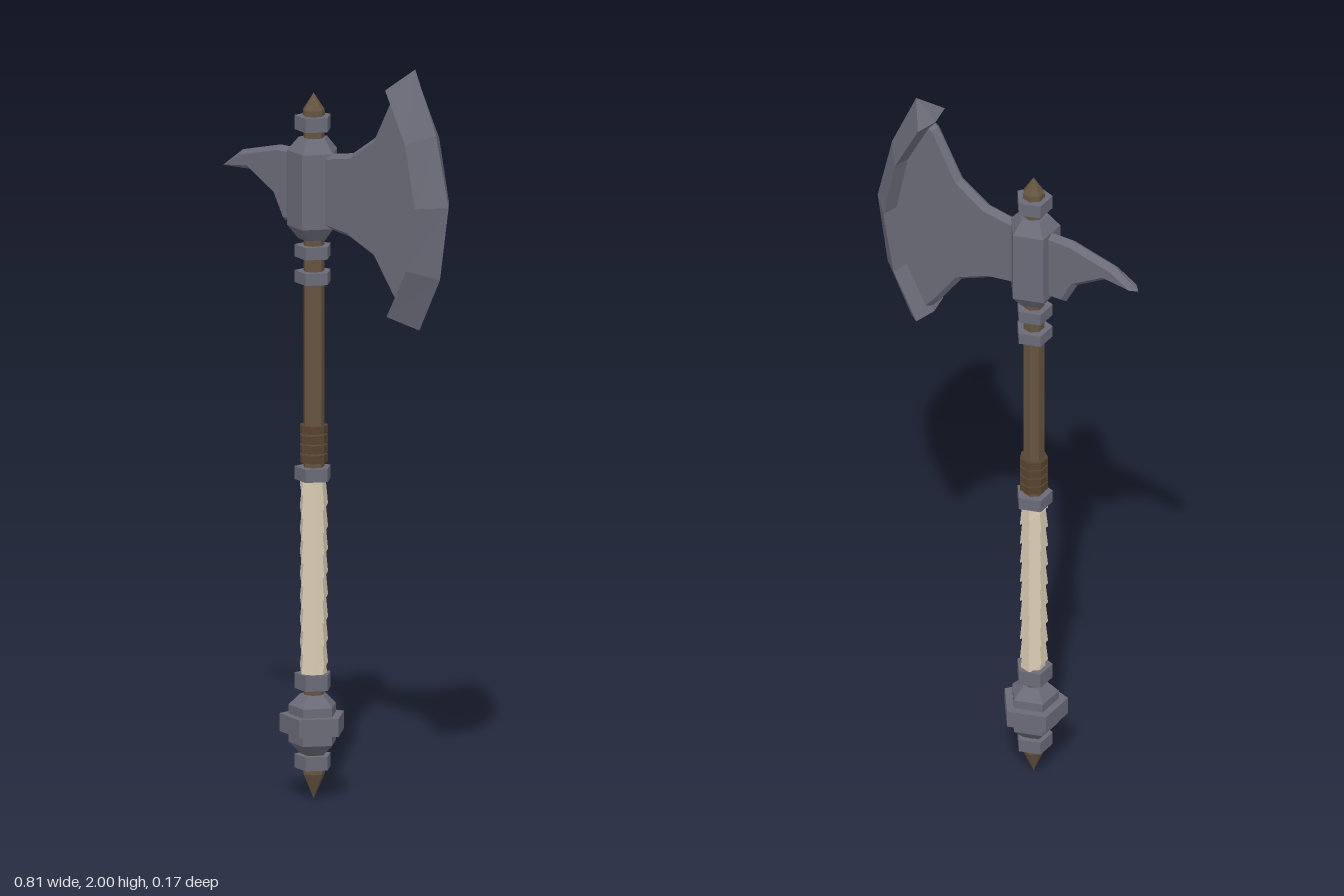
import * as THREE from 'three';

const AXIS = -0.08; // x of the shaft axis

const mat = (name, color) => {
  const m = new THREE.MeshStandardMaterial({ color });
  m.name = name;
  return m;
};

// Facet a geometry so every face has its own normal.
function flat(geo) {
  const g = geo.index ? geo.toNonIndexed() : geo;
  g.computeVertexNormals();
  return g;
}

export function createModel() {
  const group = new THREE.Group();
  const steel = mat('steel', 0x6a6b77);
  const wood = mat('wood', 0x66543f);
  const leather = mat('dark leather', 0x57432f);
  const cloth = mat('cloth wrap', 0xd6c7b0);

  const add = (name, geo, material) => {
    const mesh = new THREE.Mesh(flat(geo), material);
    mesh.name = name;
    group.add(mesh);
    return mesh;
  };

  // Prism or frustum around the shaft axis, with one corner towards +x.
  const frustum = (y0, y1, r0, r1, sides) =>
    new THREE.CylinderGeometry(r1, r0, y1 - y0, sides, 1, false, Math.PI / 2)
      .translate(AXIS, (y0 + y1) / 2, 0);

  // Faceted turned part from [radius, y] points listed from the bottom up.
  const turned = (points, sides) =>
    new THREE.LatheGeometry(points.map(p => new THREE.Vector2(...p)), sides, Math.PI / 2)
      .translate(AXIS, 0, 0);

  // Shaft and its pointed ends
  add('shaft', frustum(0.07, 1.83, 0.028, 0.028, 7), wood);
  add('topFinial', turned([[0, 1.815], [0.03, 1.825], [0.029, 1.84], [0, 1.885]], 7), wood);
  add('bottomSpike', turned([[0, 0], [0.03, 0.068], [0.028, 0.09], [0, 0.09]], 7), wood);

  // Five-sided collars along the shaft
  for (const [y0, y1] of [[0.082, 0.119], [0.294, 0.336], [0.852, 0.887],
    [1.378, 1.41], [1.446, 1.479], [1.786, 1.824]]) {
    add('collar', frustum(y0, y1, 0.05, 0.05, 5), steel);
  }

  // Five-sided pommel
  add('pommel', turned([[0, 0.12], [0.034, 0.12], [0.066, 0.15], [0.066, 0.178], [0.09, 0.178],
    [0.09, 0.226], [0.066, 0.226], [0.066, 0.25], [0.036, 0.28], [0, 0.28]], 5), steel);

  // Leather rings above the grip
  for (let i = 0; i < 4; i++) {
    const y = 0.9 + i * 0.026;
    add('leatherRing', frustum(y, y + 0.021, 0.038, 0.038, 7), leather);
  }

  // Grip: slanted, overlapping turns of cloth
  add('gripCore', frustum(0.32, 0.86, 0.031, 0.031, 7), cloth);
  for (let i = 0; i < 9; i++) {
    const y = 0.325 + i * 0.0605;
    const turn = frustum(y, y + 0.068, 0.038, 0.031, 7);
    const p = turn.attributes.position;
    for (let k = 0; k < p.count; k++) {
      const slanted = p.getY(k) - 0.9 * (p.getX(k) - AXIS);
      p.setY(k, THREE.MathUtils.clamp(slanted, 0.315, 0.87));
    }
    add('gripWrap', turn, cloth);
  }

  // Socket holding the head
  add('headSocket', turned([[0, 1.495], [0.04, 1.495], [0.07, 1.53], [0.07, 1.73],
    [0.04, 1.766], [0, 1.766]], 5), steel);

  // Thin plates with bevelled rims
  const plate = (points) => new THREE.ExtrudeGeometry(
    new THREE.Shape(points.map(p => new THREE.Vector2(...p))),
    { depth: 0.002, bevelThickness: 0.016, bevelSize: 0.012, bevelOffset: -0.012, bevelSegments: 1 },
  ).translate(0, 0, -0.001);

  add('bladeBody', plate([[-0.07, 1.53], [-0.02, 1.53], [0.05, 1.52], [0.143, 1.48], [0.212, 1.385],
    [0.252, 1.343], [0.322, 1.475], [0.352, 1.645], [0.318, 1.81], [0.245, 1.948], [0.217, 1.934],
    [0.143, 1.797], [0.063, 1.744], [-0.02, 1.73], [-0.07, 1.73]]), steel);
  add('backSpike', plate([[-0.09, 1.73], [-0.2, 1.729], [-0.333, 1.697], [-0.405, 1.645],
    [-0.307, 1.648], [-0.217, 1.595], [-0.182, 1.53], [-0.09, 1.53]]), steel);

  // Cutting edge: a wedge swept along the blade's arc, from top to bottom
  const outer = [[0.285, 2.0], [0.36, 1.835], [0.405, 1.647], [0.374, 1.45], [0.3, 1.305]];
  const inner = [[0.238, 1.947], [0.31, 1.81], [0.345, 1.645], [0.314, 1.475], [0.243, 1.343]];
  const sections = outer.map(([ox, oy], i) => {
    const [ix, iy] = inner[i];
    return [[ox, oy, 0], [ix, iy, 0.065], [ix - 0.014, iy, 0], [ix, iy, -0.065]];
  });
  const verts = [];
  const quad = (a, b, c, d) => verts.push(...a, ...b, ...c, ...a, ...c, ...d);
  for (let i = 0; i < sections.length - 1; i++) {
    const s = sections[i], t = sections[i + 1];
    for (let j = 0; j < 4; j++) {
      const k = (j + 1) % 4;
      quad(s[j], s[k], t[k], t[j]);
    }
  }
  const [p0, p1, p2, p3] = sections[0];
  quad(p0, p3, p2, p1);
  quad(...sections[sections.length - 1]);
  const edge = new THREE.BufferGeometry();
  edge.setAttribute('position', new THREE.Float32BufferAttribute(verts, 3));
  add('cuttingEdge', edge, steel);

  return group;
}
